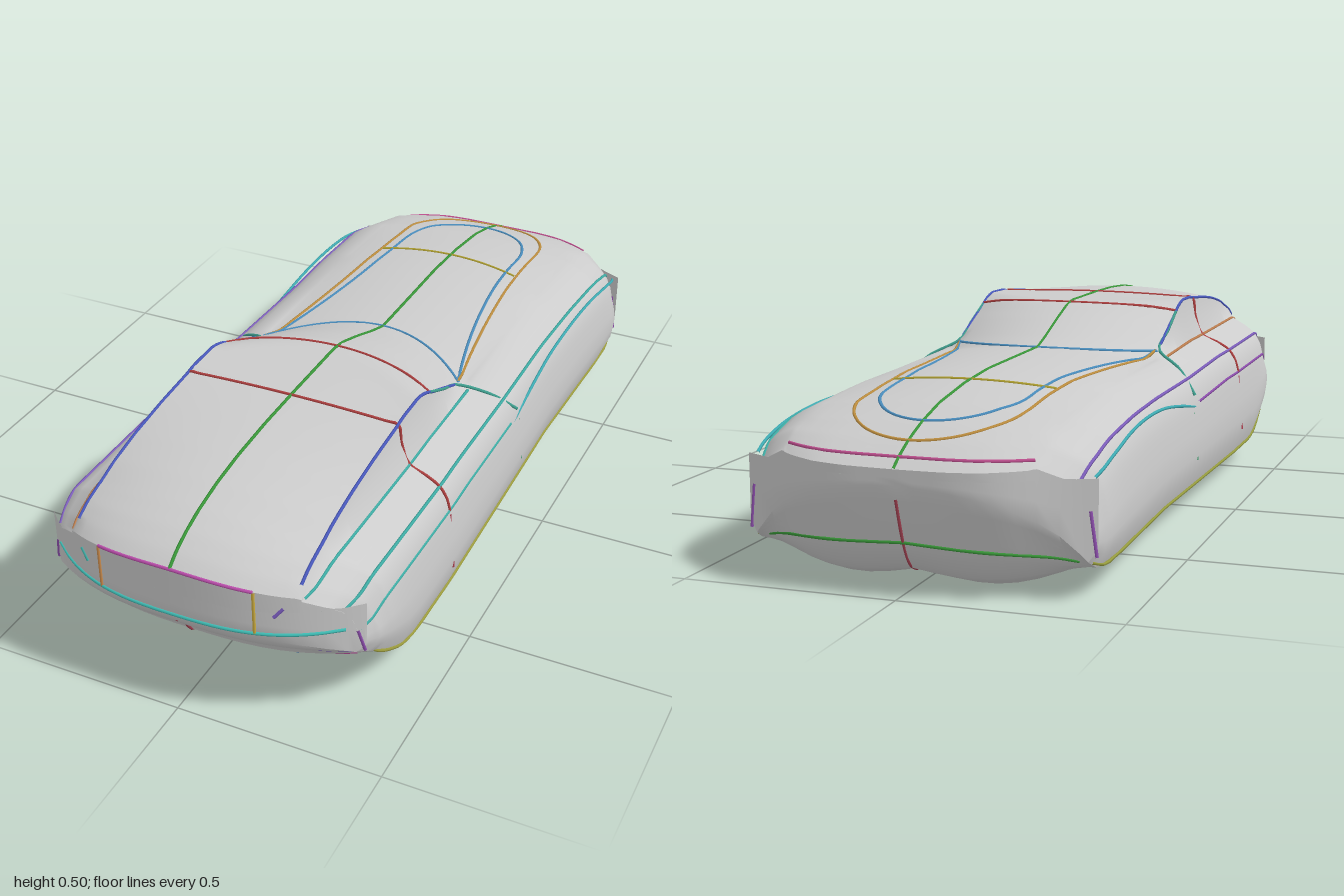
import * as THREE from 'three';
import { toCreasedNormals, mergeVertices } from 'three/addons/utils/BufferGeometryUtils.js';

// Piecewise-linear profile along the car: pairs of [s, value]
const profile = (pts) => (s) => {
  if (s <= pts[0][0]) return pts[0][1];
  for (let i = 1; i < pts.length; i++) {
    const [a, va] = pts[i - 1], [b, vb] = pts[i];
    if (s <= b) return va + ((vb - va) * (s - a)) / (b - a);
  }
  return pts[pts.length - 1][1];
};

const roofY = profile([[-1, 0.285], [-0.97, 0.305], [-0.92, 0.33], [-0.85, 0.355], [-0.75, 0.38], [-0.6, 0.4],
  [-0.45, 0.41], [-0.1, 0.412], [-0.04, 0.43], [0.06, 0.466], [0.15, 0.495], [0.2, 0.5], [0.4, 0.499],
  [0.55, 0.496], [0.68, 0.488], [0.78, 0.475], [0.86, 0.457], [0.92, 0.437], [0.97, 0.412], [1, 0.39]]);
const crown = profile([[-1, -0.005], [-0.85, 0.012], [-0.6, 0.03], [-0.1, 0.036], [0.1, 0.02], [0.2, 0.002],
  [0.4, 0.006], [0.7, 0.028], [0.85, 0.037], [1, 0.025]]);
const beltY = profile([[-1, 0.292], [-0.92, 0.325], [-0.75, 0.358], [-0.5, 0.372], [0, 0.378], [0.3, 0.39], [0.85, 0.39], [1, 0.357]]);
// Underside, stepped below the tail panel as bumper ledges
const floorY = profile([[-1, 0.25], [-0.97, 0.16], [-0.945, 0.09], [-0.91, 0.05], [-0.85, 0.037], [0.55, 0.037],
  [0.68, 0.055], [0.78, 0.08], [0.82, 0.105], [0.87, 0.13], [0.89, 0.16], [0.925, 0.172], [0.945, 0.21], [0.98, 0.228], [1, 0.265]]);
const sillY = profile([[-1, 0.09], [-0.94, 0.07], [0.62, 0.07], [0.7, 0.085], [0.78, 0.115], [0.9, 0.16], [1, 0.2]]);
const lobe = profile([[-0.95, 0.005], [-0.87, 0.022], [-0.78, 0.035], [-0.6, 0.032], [-0.4, 0.024], [0, 0.01], [0.5, 0.004], [0.7, 0]]);
const width = profile([[-1, 0.96], [-0.9, 0.99], [-0.75, 1], [-0.3, 0.975], [0, 0.99], [0.4, 1.01], [0.85, 1], [0.95, 0.98], [1, 0.94]]);

// Nose and tail are rounded in plan
const noseBend = profile([[0, 0], [0.12, 0.001], [0.19, 0.012], [0.25, 0.04], [0.31, 0.08], [0.36, 0.107], [0.42, 0.135]]);
const planZ = (x, s) => {
  const a = Math.abs(x), t = Math.max(0, (Math.abs(s) - 0.5) / 0.5) ** 2;
  return s < 0 ? s + t * noseBend(a) : s - t * (0.01 + 0.16 * (a / 0.41) ** 2.8);
};
const topY = (x, s) => {
  const u = (x / 0.28) ** 2;
  const bend = s > -0.3 && s < 0.4 ? 0.11 * u : 0; // wraparound windscreen
  return roofY(s - bend) - crown(s - bend) * u;
};
const underY = (x, s) => {
  const c = floorY(s), a = Math.abs(x);
  return c + (sillY(s) - c) * (a / 0.4) ** 3 - (a < 0.34 ? lobe(s) * Math.sin((Math.PI * a) / 0.34) : 0);
};

// Half cross-section: floor (10 points), side (6), shoulder (4), cabin and roof
const CREASE = 15;
function halfSection(s) {
  const w = width(s), b = beltY(s), sill = sillY(s), pts = [];
  for (let x = 0; x < 0.39; x += 0.043) pts.push([x * Math.min(1, w), underY(x, s)]);
  const crease = b - 0.1;
  const side = [[0.4, 0], [0.415, 0.2], [0.42, 0.4], [0.416, 0.65], [0.408, 0.9], [0.404, 1]];
  for (const [x, t] of side) pts.push([x * w, sill + (crease - sill) * t]);
  pts.push([0.395 * w, b - 0.068], [0.377 * w, b - 0.04], [0.345 * w, b - 0.02], [0.302 * w, b]);
  const edge = topY(0.275, s);
  pts.push([0.284, Math.max(b, b + (edge - b) * 0.5)]);
  for (let x = 0.275; x > 0.01; x -= 0.0275) pts.push([x, topY(x, s)]);
  pts.push([0, topY(0, s)]);
  return pts;
}

function bodyGeometry() {
  const rings = [], N = 160;
  const ring = (s, close) => {
    const half = halfSection(s);
    const mid = (half[0][1] + half[half.length - 1][1]) / 2;
    const full = [...half, ...half.slice(1, -1).reverse().map(([x, y]) => [-x, y])];
    rings.push(full.map(([x, y]) => [x, y + (mid - y) * close, planZ(x, s)]));
  };
  ring(-1, 1);
  ring(-1, 0.5);
  for (let i = 0; i <= N; i++) ring(-1 + (2 * i) / N, 0);
  ring(1, 0.5);
  ring(1, 1);
  const n = rings[0].length, index = [];
  for (let i = 0; i < rings.length - 1; i++) {
    for (let j = 0; j < n; j++) {
      const k = (j + 1) % n, p = i * n, q = p + n;
      index.push(p + j, p + k, q + j, p + k, q + k, q + j);
    }
  }
  const g = new THREE.BufferGeometry();
  g.setAttribute('position', new THREE.Float32BufferAttribute(rings.flat(2), 3));
  g.setIndex(index);
  return toCreasedNormals(mergeVertices(g), 0.6);
}

export function createModel() {
  const group = new THREE.Group();
  const body = new THREE.Mesh(bodyGeometry(), new THREE.MeshStandardMaterial({ color: 0xcccccc }));
  body.name = 'body';
  group.add(body);

  const V = (x, y, z) => new THREE.Vector3(x, y, z);
  const line = (name, color, pts) => {
    const curve = new THREE.CatmullRomCurve3(pts, false, 'centripetal');
    const mesh = new THREE.Mesh(new THREE.TubeGeometry(curve, pts.length * 3, 0.004, 5),
      new THREE.MeshStandardMaterial({ color }));
    mesh.name = name;
    group.add(mesh);
  };
  const both = (name, colors, f) => [1, -1].forEach((m, i) =>
    line((i ? 'right' : 'left') + name, colors[i] ?? colors[0], f(m)));
  const sample = (n, f) => Array.from({ length: n + 1 }, (_, i) => f(i / n));
  const top = (x, s) => V(x, topY(x, s), planZ(x, s));
  const lerp = THREE.MathUtils.lerp;

  // Lines over the roof and bonnet
  line('centreLine', 0x3a9a3a, sample(60, (t) => top(0, lerp(-1, 1, t))));
  const hoop = halfSection(0.42).slice(CREASE);
  line('roofCrossLine', 0xb04040, [...hoop, ...hoop.slice(0, -1).reverse().map(([x, y]) => [-x, y])]
    .map(([x, y]) => V(x, y, 0.42)));
  const arc = (z, rise) => sample(16, (t) => {
    const x = lerp(-0.275, 0.275, t);
    return top(x, z + rise * (x / 0.275) ** 2);
  });
  line('windscreenTopLine', 0xb04040, arc(0.17, 0.07));
  line('windscreenBaseLine', 0x4a8fc0, arc(-0.1, 0.15));
  line('bonnetCrossLine', 0xb0a030, sample(10, (t) => {
    const x = lerp(-0.2, 0.2, t);
    return top(x, -0.56 + 0.5 * x * x);
  }));
  const bonnetLoop = (nose, w) => sample(40, (t) => {
    const a = lerp(-1, 1, t), k = Math.abs(a);
    if (k < 0.4) {
      const q = (k / 0.4) * Math.PI / 2;
      return top(Math.sign(a) * w * Math.sin(q), nose + 0.2 * (1 - Math.cos(q)));
    }
    const d = (k - 0.4) / 0.6;
    return top(Math.sign(a) * lerp(w, 0.27, d * d), lerp(nose + 0.2, 0.05, d));
  });
  line('bonnetInnerLoop', 0x4a8fc0, bonnetLoop(-0.84, 0.17));
  line('bonnetOuterLoop', 0xc09040, bonnetLoop(-0.92, 0.2));
  line('noseTopLine', 0xc05090, sample(16, (t) => top(lerp(-0.28, 0.28, t), -0.97)));

  // Lines along the sides
  both('RoofEdge', [0x4a5ac0], (m) => sample(20, (t) => top(m * 0.275, lerp(0.08, 0.97, t))));
  const alongSide = (m, x, drop, a, b) => sample(30, (t) => {
    const s = lerp(a, b, t), wx = x * width(s);
    return V(m * wx, beltY(s) - drop, planZ(wx, s));
  });
  both('BeltLine', [0x40b0a8, 0xc08050], (m) => alongSide(m, 0.302, 0, 0.05, 0.99));
  both('ShoulderLine', [0x40b0a8, 0x8060c0], (m) => alongSide(m, 0.377, 0.04, -0.98, 0.99));
  both('CreaseLine', [0x40b0a8, 0x9050b0], (m) => alongSide(m, 0.403, 0.1, 0, 0.99));
  both('WingLine', [0x40b0b8], (m) => sample(20, (t) => {
    const s = lerp(-0.97, 0.02, t);
    return V(m * 0.402 * width(s), 0.265 + 0.06 * Math.sin(Math.PI * (1 - t)) - 0.005 * t, planZ(0.4, s));
  }));
  both('SillLine', [0xa0a040, 0x9aa040], (m) => sample(20, (t) => {
    const s = lerp(-0.99, 0.99, t);
    return V(m * 0.402 * width(s), sillY(s), planZ(0.4, s));
  }));
  for (const [name, color, s, lo, hi] of [['RearDoorLine', 0xb04050, 0.42, 0.13, 0.28], ['FrontDoorLine', 0x3a9a6a, -0.06, 0.14, 0.26],
    ['NoseCornerLine', 0x9050b0, -1, 0.1, 0.2], ['TailCornerLine', 0x9050b0, 1, 0.2, 0.26]]) {
    both(name, [color], (m) => sample(4, (t) => {
      const x = lerp(0.417, 0.404, t) * width(s);
      return V(m * x, lerp(lo, hi, t), planZ(x, s));
    }));
  }
  both('ScreenPillar', [0x40a090], (m) => [top(m * 0.275, 0.24), top(m * 0.277, 0.15), top(m * 0.278, 0.06),
    V(m * 0.345, 0.358, 0.01), V(m * 0.4, 0.3, -0.04)]);

  // Tail panel outline
  const onTail = (x, y) => V(x, y, planZ(x, 1));
  line('tailTopLine', 0xc050b0, sample(14, (t) => top(lerp(-0.19, 0.19, t), 1)));
  line('tailBottomLine', 0x40c0b8, sample(14, (t) => onTail(lerp(-0.36, 0.36, t), 0.268)));
  both('TailPanelEdge', [0xd0b040, 0xd09050], (m) => [onTail(m * 0.19, 0.268), onTail(m * 0.19, topY(0.19, 1))]);
  both('LampLine', [0x8060c8, 0x40b0a8], (m) => [onTail(m * 0.23, 0.315), onTail(m * 0.25, 0.34)]);

  // Bumper and lower tail lines, laid on the undercut
  const under = (x, s) => V(x, underY(x, s), planZ(x, s));
  const undercut = (s, w) => sample(16, (t) => under(lerp(-w, w, t), s));
  line('bumperLine', 0x8060c8, undercut(0.95, 0.36));
  line('valanceLine', 0xc050a0, undercut(0.9, 0.36));
  line('lowerTailLine', 0xc050b0, undercut(0.75, 0.39));
  both('DiffuserLine', [0x5090d0, 0xc050b0], (m) => sample(8, (t) => under(m * lerp(0.13, 0.26, t), lerp(0.77, 0.9, t))));

  // Nose and floor lines
  line('noseLowerLine', 0x3a9a3a, undercut(-0.955, 0.36));
  line('floorCentreLine', 0xa04050, sample(60, (t) => under(0, lerp(-0.99, 0.99, t))));
  line('floorFrontLine', 0x40a0a0, undercut(-0.06, 0.39));
  line('floorRearLine', 0xa0a040, undercut(0.42, 0.39));
  return group;
}
